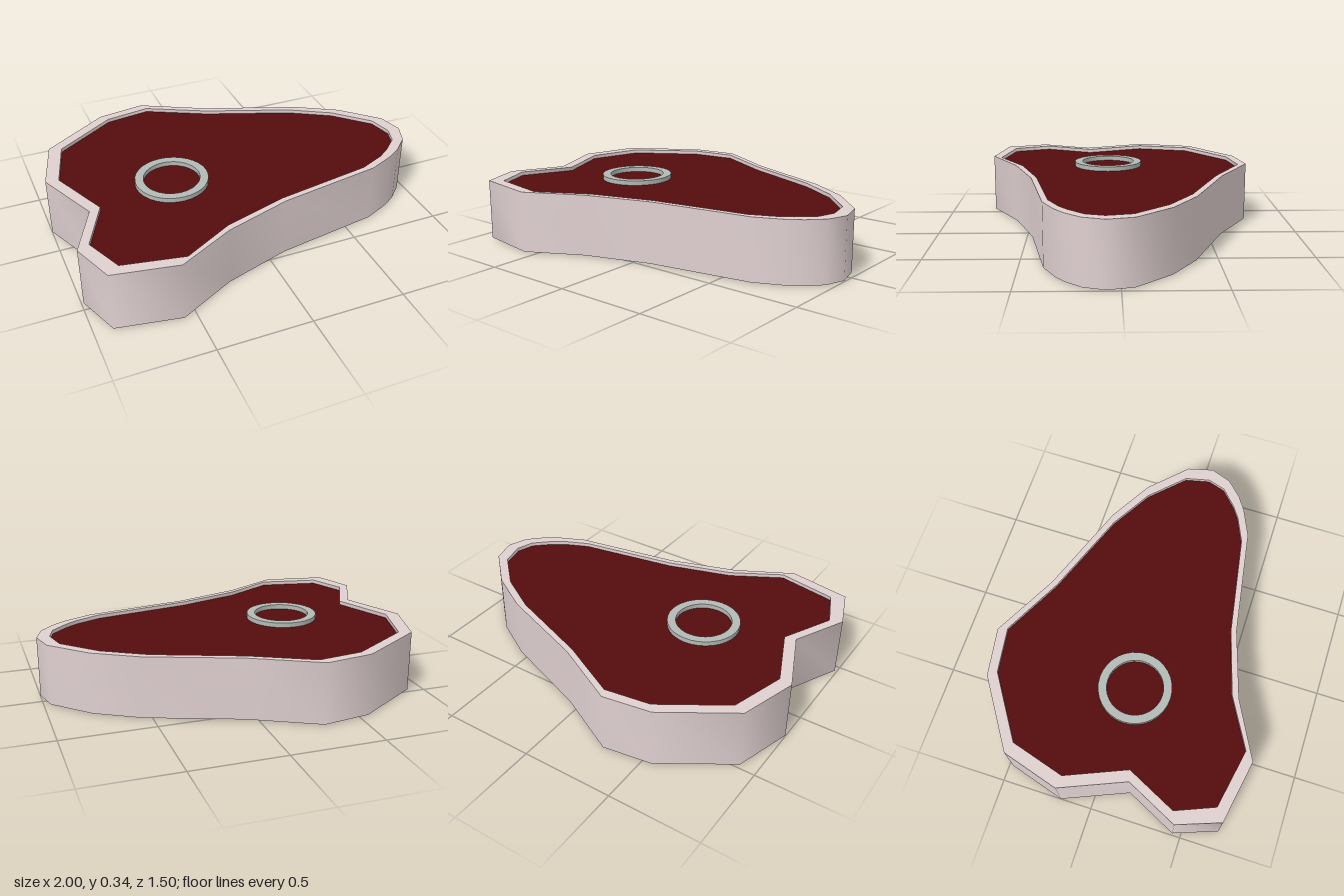
import * as THREE from 'three';
import { toCreasedNormals } from 'three/addons/utils/BufferGeometryUtils.js';

// Outlines as [x, z] pairs
const OUTER = [
  [-1, -0.17], [-0.91, -0.48], [-0.55, -0.715], [-0.29, -0.755], [0.06, -0.57],
  [0.55, -0.385], [0.78, -0.25], [0.965, -0.065], [1, 0.07], [0.96, 0.18],
  [0.88, 0.26], [0.805, 0.31], [0.66, 0.375], [0.095, 0.47], [-0.265, 0.585],
  [-0.565, 0.745], [-0.905, 0.685], [-0.99, 0.455], [-0.855, 0.175],
];
const INNER = [
  [-0.93, -0.16], [-0.845, -0.455], [-0.515, -0.67], [-0.27, -0.705], [0.05, -0.54],
  [0.505, -0.365], [0.725, -0.235], [0.9, -0.06], [0.93, 0.07], [0.9, 0.165],
  [0.815, 0.245], [0.75, 0.29], [0.615, 0.35], [0.09, 0.44], [-0.255, 0.545],
  [-0.52, 0.695], [-0.84, 0.635], [-0.925, 0.43], [-0.795, 0.16],
];

const toPoints = (pairs) => pairs.map(([x, z]) => new THREE.Vector2(x, z));

function circle(cx, cz, r, n = 32) {
  return Array.from({ length: n }, (_, i) => {
    const a = (i / n) * Math.PI * 2;
    return [cx + r * Math.cos(a), cz + r * Math.sin(a)];
  });
}

// Flat slab between two heights, with an optional hole
function slab(name, color, outline, hole, bottom, top) {
  const shape = new THREE.Shape(toPoints(outline));
  if (hole) shape.holes.push(new THREE.Path(toPoints(hole)));
  const geo = new THREE.ExtrudeGeometry(shape, { depth: top - bottom, bevelEnabled: false });
  geo.rotateX(Math.PI / 2).translate(0, top, 0);
  const mesh = new THREE.Mesh(toCreasedNormals(geo, 1.1), new THREE.MeshStandardMaterial({ color }));
  mesh.name = name;
  return mesh;
}

export function createModel() {
  const group = new THREE.Group();
  group.name = 'steak';
  // Fat rim around the edge
  group.add(slab('fatRim', 0xe0d0d0, OUTER, INNER, 0.005, 0.335));
  // Meat, slightly recessed on both faces
  group.add(slab('meat', 0x550c0c, INNER, null, 0.025, 0.315));
  // Bone ring, proud of the meat on both faces
  group.add(slab('bone', 0xb4bab6, circle(-0.375, 0.05, 0.195), circle(-0.375, 0.05, 0.15), 0, 0.34));
  return group;
}
